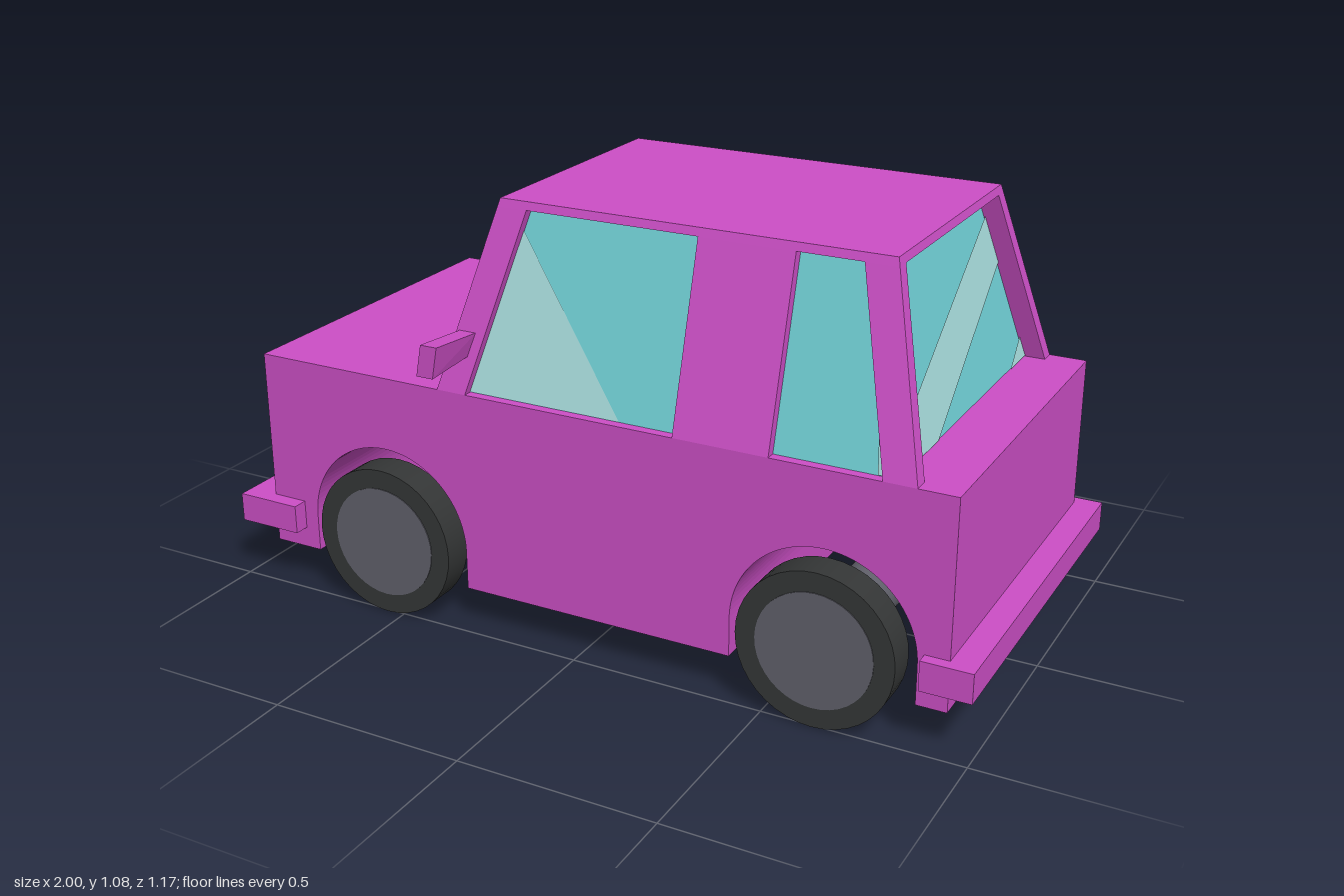
import * as THREE from 'three';

const mat = (name, color, side = THREE.FrontSide) => {
  const m = new THREE.MeshStandardMaterial({ color, side });
  m.name = name;
  return m;
};

// Six-sided solid between a bottom and a top rectangle, each [y, x0, x1, z0, z1]
function prism(bottom, top) {
  const ring = ([y, x0, x1, z0, z1]) => [[x0, y, z1], [x1, y, z1], [x1, y, z0], [x0, y, z0]];
  const a = ring(bottom), b = ring(top), pos = [];
  const quad = (p, q, r, s) => pos.push(...p, ...q, ...r, ...p, ...r, ...s);
  for (let i = 0; i < 4; i++) {
    const j = (i + 1) % 4;
    quad(a[i], a[j], b[j], b[i]);
  }
  quad(...b);
  quad(a[3], a[2], a[1], a[0]);
  const g = new THREE.BufferGeometry();
  g.setAttribute('position', new THREE.Float32BufferAttribute(pos, 3));
  g.computeVertexNormals();
  return g;
}

// Flat polygon whose 2D points are placed on a sloping pane by a rule
function panePatch(points, place) {
  const g = new THREE.ShapeGeometry(new THREE.Shape(points.map(p => new THREE.Vector2(...p))));
  const p = g.attributes.position;
  for (let i = 0; i < p.count; i++) p.setXYZ(i, ...place(p.getX(i), p.getY(i)));
  g.computeVertexNormals();
  return g;
}

export function createModel() {
  const paint = mat('magenta paint', 0xcc4fc6);
  const glass = mat('teal glass', 0x6fcdd2);
  const sheen = mat('pale glass streak', 0xa5d9d9, THREE.DoubleSide);
  const rubber = mat('black rubber', 0x343636);
  const metal = mat('grey metal', 0x60606a);
  const lamp = mat('yellow lamp', 0xc4b43c);

  const car = new THREE.Group();
  car.name = 'car';
  const add = (name, geometry, material, x = 0, y = 0, z = 0) => {
    const m = new THREE.Mesh(geometry, material);
    m.name = name;
    m.position.set(x, y, z);
    car.add(m);
    return m;
  };
  const box = (name, material, x0, x1, y0, y1, z0, z1) =>
    add(name, new THREE.BoxGeometry(x1 - x0, y1 - y0, z1 - z0), material,
      (x0 + x1) / 2, (y0 + y1) / 2, (z0 + z1) / 2);

  // Lower body, with wheel arches cut through its whole width
  const s = new THREE.Shape();
  s.moveTo(-0.92, 0.1);
  s.lineTo(-0.92, 0.62);
  s.lineTo(0.935, 0.62);
  s.lineTo(0.935, 0.1);
  for (const x of [0.63, -0.555]) {
    s.lineTo(x + 0.23, 0.1);
    s.lineTo(x + 0.23, 0.2);
    s.absarc(x, 0.2, 0.23, 0, Math.PI, false);
    s.lineTo(x - 0.23, 0.1);
  }
  s.closePath();
  add('body', new THREE.ExtrudeGeometry(s, { depth: 0.93, bevelEnabled: false, curveSegments: 24 }),
    paint, 0, 0, -0.465);

  // Bumpers
  box('frontBumper', paint, -1, -0.825, 0.155, 0.23, -0.505, 0.505);
  box('rearBumper', paint, 0.875, 1, 0.155, 0.23, -0.495, 0.495);

  // Cabin: glass core, roof and pillars
  add('cabinGlass', prism([0.61, -0.337, 0.787, -0.443, 0.443], [1.065, -0.224, 0.674, -0.314, 0.314]), glass);
  add('roof', prism([1.06, -0.28, 0.73, -0.341, 0.341], [1.08, -0.275, 0.725, -0.335, 0.335]), paint);
  const pillars = [
    ['windscreenPillar', -0.39, -0.31, -0.28, -0.2, 0.425, 0.305],
    ['middlePillar', 0.25, 0.49, 0.25, 0.49, 0.425, 0.305],
    ['rearPillar', 0.76, 0.84, 0.65, 0.73, 0.425, 0.305],
  ];
  for (const [name, b0, b1, t0, t1, zb, zt] of pillars) {
    add(name + 'Left', prism([0.62, b0, b1, zb, 0.465], [1.06, t0, t1, zt, 0.341]), paint);
    add(name + 'Right', prism([0.62, b0, b1, -0.465, -zb], [1.06, t0, t1, -0.341, -zt]), paint);
  }

  // Pale streaks on the windscreen and rear window, drawn in z and y
  const streaks = [
    [[0.2, 0.622], [-0.37, 0.885], [-0.325, 1.0], [0.43, 0.68], [0.43, 0.622]],
    [[0.33, 0.975], [0.31, 1.06], [0.16, 1.06]],
    [[-0.31, 0.622], [-0.43, 0.622], [-0.42, 0.68]],
  ];
  for (const pts of streaks) {
    add('rearWindowStreak', panePatch(pts, (z, y) => [0.789 - 0.25 * (y - 0.62), y, z]), sheen);
    add('windscreenStreak', panePatch(pts, (z, y) => [-0.339 + 0.25 * (y - 0.62), y, z]), sheen);
  }

  for (const side of [1, -1]) {
    const span = (a, b) => side > 0 ? [a, b] : [-b, -a];

    // Side window streaks
    for (const pts of [[[-0.32, 0.622], [0.1, 0.622], [-0.215, 1.01]], [[0.74, 0.622], [0.77, 0.622], [0.72, 0.78]]])
      add('sideWindowStreak', panePatch(pts, (x, y) => [x, y, side * (0.443 - 0.283 * (y - 0.62))]), sheen);

    // Door mirrors, flaring outward
    const mirror = prism([0.7, -0.36, -0.315, ...span(0.42, 0.585)], [0.78, -0.345, -0.3, ...span(0.42, 0.585)]);
    const p = mirror.attributes.position;
    for (let i = 0; i < p.count; i++)
      if (Math.abs(p.getZ(i)) < 0.5) p.setY(i, 0.738 + (p.getY(i) - 0.74) * 0.7);
    mirror.computeVertexNormals();
    add('doorMirror', mirror, paint);

    // Headlamps
    box('headlampHousing', paint, -0.945, -0.92, 0.455, 0.555, ...span(0.115, 0.34));
    box('headlampLens', lamp, -0.948, -0.943, 0.465, 0.545, ...span(0.127, 0.328));
  }

  // Wheels and axles
  const rod = (r, length) => new THREE.CylinderGeometry(r, r, length, 40).rotateX(Math.PI / 2);
  for (const [end, x] of [['front', -0.545], ['rear', 0.63]]) {
    add(end + 'Axle', rod(0.072, 0.88), metal, x, 0.195, 0);
    for (const side of [1, -1]) {
      add(end + 'Tyre', rod(0.195, 0.082), rubber, x, 0.195, side * 0.466);
      add(end + 'Hub', rod(0.145, 0.006), metal, x, 0.195, side * 0.506);
    }
  }
  return car;
}
